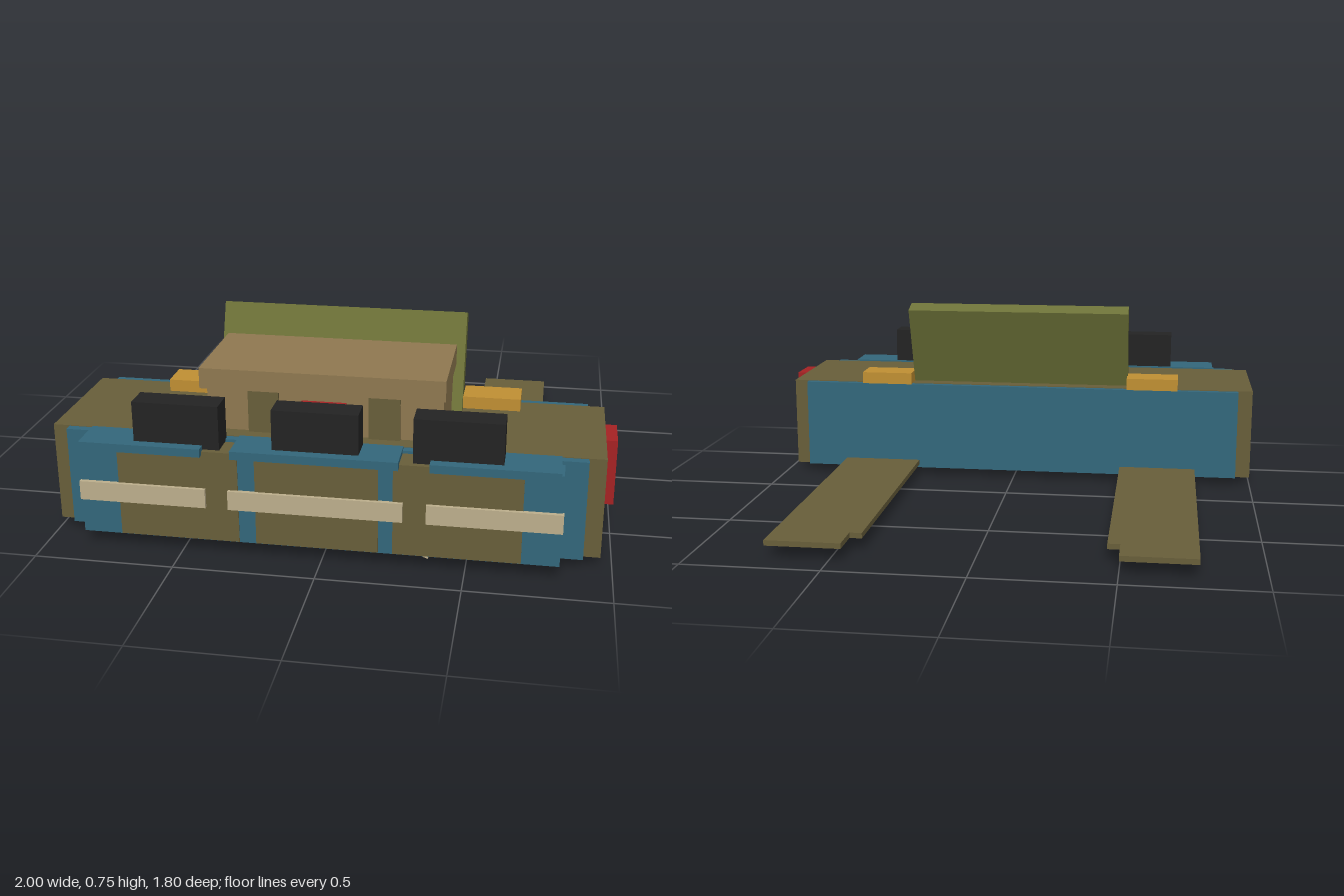
import * as THREE from 'three';

const mat = (name, color) => {
  const m = new THREE.MeshStandardMaterial({ color });
  m.name = name;
  return m;
};

export function createModel() {
  const model = new THREE.Group();
  model.name = 'beltPack';
  const olive = mat('olive', 0x685e3a), blue = mat('blue', 0x33677b), tan = mat('tan', 0x8f7850);
  const black = mat('black', 0x232323), red = mat('red', 0xa52223), amber = mat('amber', 0xc08f33);
  const beige = mat('beige', 0xbcae8c), green = mat('green', 0x6d7238), slate = mat('slate', 0x62646f);

  // box given by its limits on each axis
  const box = (name, material, x0, x1, y0, y1, z0, z1) => {
    const mesh = new THREE.Mesh(new THREE.BoxGeometry(x1 - x0, y1 - y0, z1 - z0), material);
    mesh.position.set((x0 + x1) / 2, (y0 + y1) / 2, (z0 + z1) / 2);
    mesh.name = name;
    model.add(mesh);
    return mesh;
  };
  const polygon = (points) => new THREE.Shape(points.map(([x, y]) => new THREE.Vector2(x, y)));

  // main body: olive block crossed by a blue inner case
  box('body', olive, -1, 0.96, 0.03, 0.4, 0.26, 0.75);
  box('innerCase', blue, -0.94, 0.9, 0.032, 0.398, 0.233, 0.78);
  box('frontCase', blue, -0.86, 0.82, 0.05, 0.385, 0.77, 0.875);

  // three front pouches with flap, strap and black block
  const pouches = [
    { pouch: [-0.72, -0.29], flap: [-0.85, -0.415], strap: [-0.86, -0.405], block: [-0.66, -0.355] },
    { pouch: [-0.23, 0.2], flap: [-0.31, 0.27], strap: [-0.325, 0.285], block: [-0.17, 0.13] },
    { pouch: [0.25, 0.69], flap: [0.375, 0.81], strap: [0.365, 0.825], block: [0.315, 0.62] },
  ];
  for (const p of pouches) {
    box('pouch', olive, ...p.pouch, 0.052, 0.388, 0.77, 0.878);
    box('pouchFlap', blue, ...p.flap, 0.375, 0.405, 0.755, 0.9);
    box('pouchStrap', beige, ...p.strap, 0.18, 0.25, 0.87, 0.891);
    box('pouchBlock', black, ...p.block, 0.39, 0.55, 0.765, 0.862);
  }

  // top compartment with lid, front straps and clasp
  box('topCompartment', tan, -0.44, 0.4, 0.39, 0.57, 0.335, 0.69);
  box('topLid', tan, -0.455, 0.41, 0.565, 0.64, 0.333, 0.733);
  for (const x of [-0.29, 0.14]) box('compartmentStrap', olive, x, x + 0.11, 0.39, 0.565, 0.68, 0.703);
  box('clasp', red, -0.1, 0.06, 0.39, 0.525, 0.68, 0.716);

  // leaning back panel, extruded along x from its side profile
  const panelGeometry = new THREE.ExtrudeGeometry(
    polygon([[-0.395, 0.385], [-0.33, 0.36], [-0.2, 0.722], [-0.266, 0.745]]),
    { depth: 0.92, bevelEnabled: false });
  panelGeometry.rotateY(Math.PI / 2);
  const panel = new THREE.Mesh(panelGeometry, green);
  panel.position.x = -0.48;
  panel.name = 'backPanel';
  model.add(panel);

  // hinges, side tag and underside plate
  for (const x of [-0.69, 0.44]) box('hinge', amber, x, x + 0.212, 0.39, 0.446, 0.234, 0.355);
  box('sideTag', red, 0.95, 1, 0.155, 0.399, 0.43, 0.58);
  box('undersidePlate', slate, -0.67, 0.67, 0.027, 0.034, 0.4, 0.62);

  // long belt straps trailing behind, each with a stepped end
  const beltShapes = [
    [[-0.77, -0.25], [-0.455, -0.25], [-0.455, 0.78], [-0.5, 0.78], [-0.5, 0.9], [-0.77, 0.9]],
    [[0.41, -0.25], [0.73, -0.25], [0.73, 0.9], [0.455, 0.9], [0.455, 0.78], [0.41, 0.78]],
  ];
  for (const points of beltShapes) {
    const geometry = new THREE.ExtrudeGeometry(polygon(points), { depth: 0.02, bevelEnabled: false });
    geometry.rotateX(-Math.PI / 2);
    const belt = new THREE.Mesh(geometry, olive);
    belt.position.y = 0.045;
    belt.name = 'beltStrap';
    model.add(belt);
  }

  // loose strap tip under the front
  const tip = new THREE.Mesh(new THREE.ExtrudeGeometry(
    polygon([[0.25, 0.045], [0.365, 0], [0.385, 0.045]]), { depth: 0.015, bevelEnabled: false }), beige);
  tip.position.z = 0.784;
  tip.name = 'strapTip';
  model.add(tip);

  return model;
}
